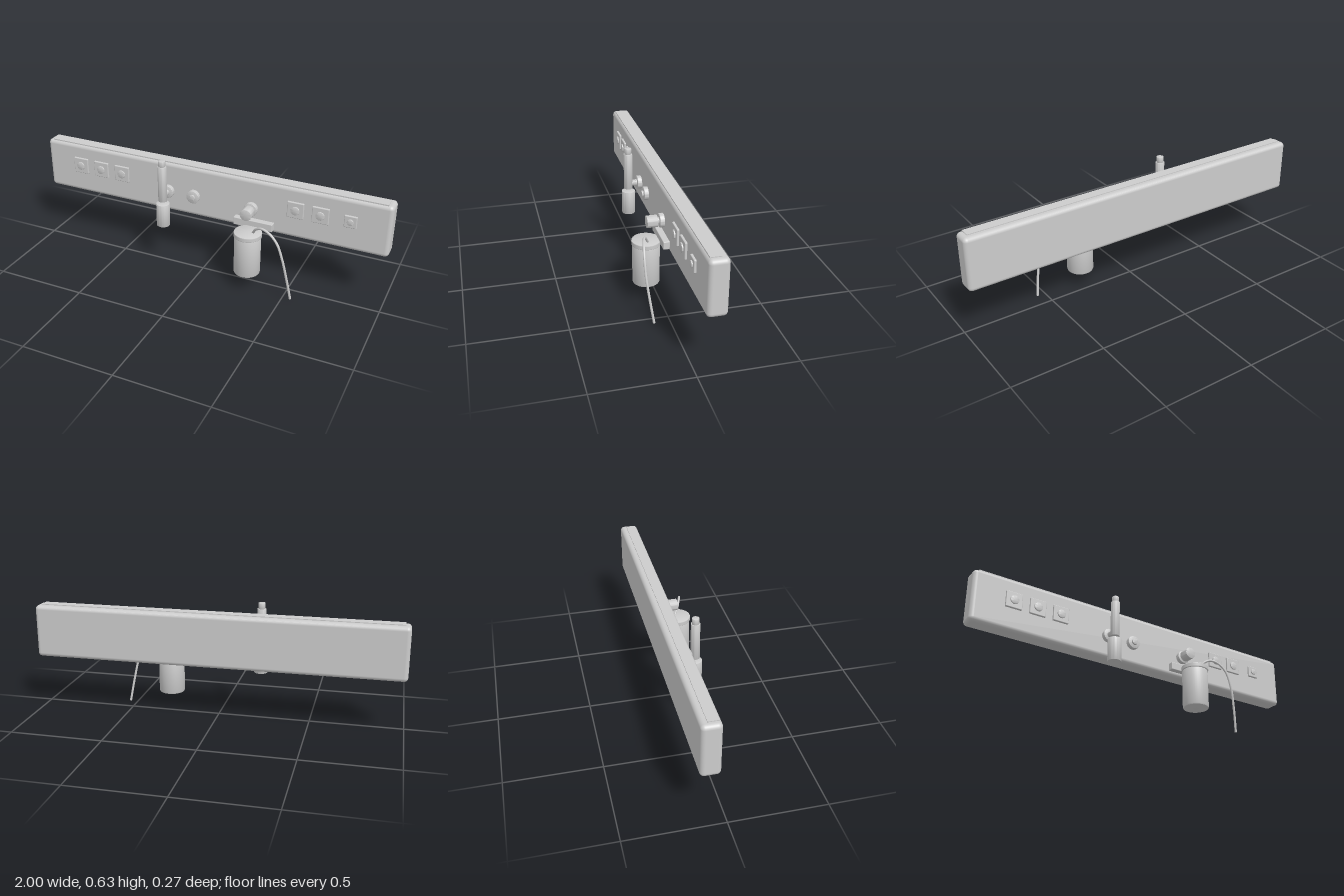
import * as THREE from 'three';
import { RoundedBoxGeometry } from 'three/addons/geometries/RoundedBoxGeometry.js';
import { toCreasedNormals } from 'three/addons/utils/BufferGeometryUtils.js';

export function createModel() {
  const root = new THREE.Group();
  const mat = new THREE.MeshStandardMaterial({ color: 0xcccccc });

  function add(name, geo, x, y, z, parent = root) {
    const m = new THREE.Mesh(geo, mat);
    m.name = name;
    m.position.set(x, y, z);
    parent.add(m);
    return m;
  }
  // Solid round part with softened rims, centred on its axis
  function round(r, h, b = 0.003) {
    const pts = [[0, 0], [r - b, 0], [r - b * 0.3, b * 0.3], [r, b], [r, h - b],
      [r - b * 0.3, h - b * 0.3], [r - b, h], [0, h]].map(([px, py]) => new THREE.Vector2(px, py - h / 2));
    return toCreasedNormals(new THREE.LatheGeometry(pts, 40), 0.6);
  }
  // Round part running along z from z0 to z1
  function roundZ(name, r, x, y, z0, z1, b, parent = root) {
    add(name, round(r, z1 - z0, b), x, y, (z0 + z1) / 2, parent).rotation.x = Math.PI / 2;
  }
  // Upright round part from y0 to y1
  function roundY(name, r, x, y0, y1, z, b, parent = root) {
    add(name, round(r, y1 - y0, b), x, (y0 + y1) / 2, z, parent);
  }
  function group(name) {
    const g = new THREE.Group();
    g.name = name;
    root.add(g);
    return g;
  }

  // Wall panel with light strip along the top
  add('wallPanel', new RoundedBoxGeometry(2, 0.288, 0.1, 5, 0.022), 0, 0.448, -0.085);
  add('topLightStrip', new THREE.BoxGeometry(1.94, 0.012, 0.054), 0, 0.59, -0.074);

  // Power sockets and the small call switch
  const plates = [[-0.78, 0.09], [-0.647, 0.09], [-0.514, 0.09], [0.507, 0.09], [0.64, 0.09], [0.796, 0.066]];
  for (const [x, size] of plates) {
    const g = group(size > 0.07 ? 'powerSocket' : 'callSwitch');
    add('socketPlate', new RoundedBoxGeometry(size, size, 0.014, 2, 0.004), x, 0.471, -0.03, g);
    roundZ('socketFace', size * 0.26, x, 0.471, -0.025, -0.016, 0.002, g);
  }

  // Gas outlets
  for (const x of [-0.225, -0.07, 0.265]) {
    const g = group('gasOutlet');
    roundZ('outletRing', 0.037, x, 0.427, -0.036, -0.01, 0.004, g);
    roundZ('outletNozzle', 0.017, x, 0.427, -0.012, 0, 0.002, g);
  }

  // Oxygen flow meter with humidifier bottle
  const meter = group('flowMeter');
  roundZ('meterConnector', 0.016, -0.225, 0.427, -0.002, 0.035, 0.001, meter);
  roundY('meterTube', 0.024, -0.225, 0.397, 0.603, 0.038, 0.001, meter);
  roundY('meterCap', 0.019, -0.225, 0.6, 0.635, 0.038, 0.002, meter);
  roundY('humidifierBottle', 0.037, -0.225, 0.249, 0.381, 0.037, 0.001, meter);

  // Suction regulator, bracket, jar and hose
  const suction = group('suctionUnit');
  roundZ('regulator', 0.032, 0.265, 0.426, -0.001, 0.055, 0.002, suction);
  add('jarBracket', new RoundedBoxGeometry(0.22, 0.044, 0.034, 2, 0.004), 0.285, 0.348, -0.018, suction);
  roundY('suctionJar', 0.071, 0.285, 0.092, 0.318, 0.061, 0.009, suction);
  roundY('jarLid', 0.075, 0.285, 0.313, 0.338, 0.061, 0.004, suction);

  const path = new THREE.CatmullRomCurve3([
    [0.31, 0.334, 0.056], [0.335, 0.372, 0.076], [0.372, 0.391, 0.092], [0.42, 0.379, 0.105],
    [0.465, 0.335, 0.113], [0.497, 0.25, 0.113], [0.522, 0.13, 0.1], [0.543, 0.002, 0.082],
  ].map((p) => new THREE.Vector3(...p)));
  const r = 0.0065;
  add('suctionHose', new THREE.TubeGeometry(path, 64, r, 12), 0, 0, 0, suction);
  // Closed lower end of the hose
  const end = add('hoseEnd', new THREE.CircleGeometry(r, 12), 0, 0, 0, suction);
  end.position.copy(path.getPoint(1));
  end.quaternion.setFromUnitVectors(new THREE.Vector3(0, 0, 1), path.getTangent(1));

  return root;
}
